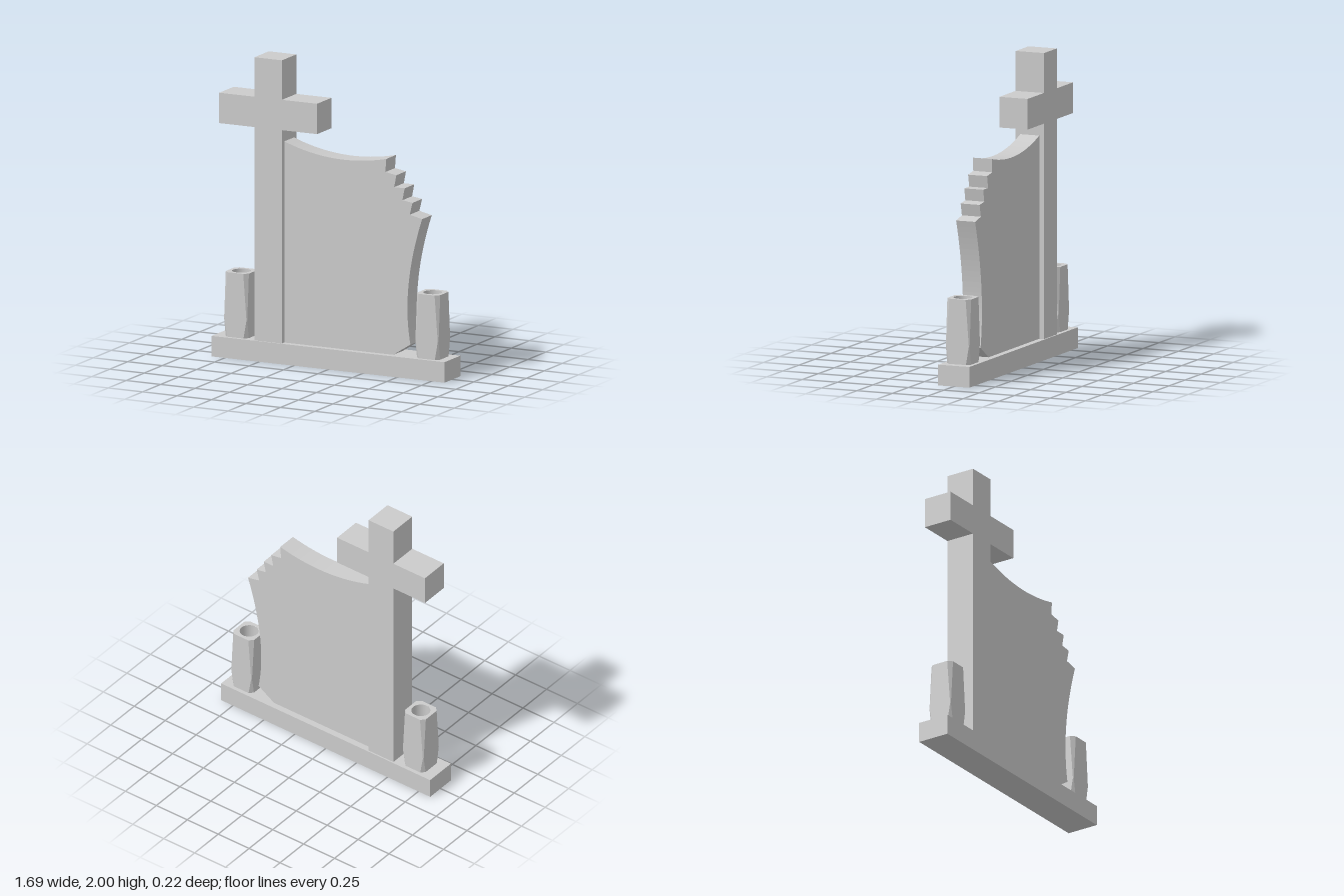
import * as THREE from 'three';

const stone = new THREE.MeshStandardMaterial({ color: 0xcccccc });
const stoneFlat = new THREE.MeshStandardMaterial({ color: 0xcccccc, flatShading: true });
const stoneInner = new THREE.MeshStandardMaterial({ color: 0xcccccc, side: THREE.BackSide });

const BASE_TOP = 0.135;

function addMesh(parent, name, geometry, material = stone) {
  const mesh = new THREE.Mesh(geometry, material);
  mesh.name = name;
  parent.add(mesh);
  return mesh;
}

// Extrude a front outline symmetrically about z = 0
function slab(shape, depth) {
  const g = new THREE.ExtrudeGeometry(shape, { depth, bevelEnabled: false, curveSegments: 24 });
  return g.translate(0, 0, -depth / 2);
}

function polygon(points) {
  return new THREE.Shape(points.map(([x, y]) => new THREE.Vector2(x, y)));
}

// Square with cut corners, counter-clockwise
function cutSquare(h, c) {
  const k = h - c;
  return [[h, -k], [h, k], [k, h], [-k, h], [-h, k], [-h, -k], [-k, -h], [k, -h]];
}

// Vase: square block whose corner cuts narrow to a point near the lower third
function createVase(name, x) {
  const vase = new THREE.Group();
  vase.name = name;
  vase.position.set(x, BASE_TOP, 0);
  const half = 0.084, height = 0.425, bore = 0.061, depth = 0.3;

  const levels = [[0, 0.025], [0.12, 0.004], [height, 0.027]];
  const positions = [], index = [];
  for (const [y, cut] of levels) {
    for (const [px, pz] of cutSquare(half, cut)) positions.push(px, y, -pz);
  }
  for (let l = 0; l < levels.length - 1; l++) {
    for (let i = 0; i < 8; i++) {
      const a = l * 8 + i, b = l * 8 + (i + 1) % 8;
      index.push(a, b, b + 8, a, b + 8, a + 8);
    }
  }
  const body = new THREE.BufferGeometry();
  body.setAttribute('position', new THREE.Float32BufferAttribute(positions, 3));
  body.setIndex(index);
  const sides = body.toNonIndexed();
  sides.computeVertexNormals();
  addMesh(vase, 'vaseBody', sides, stoneFlat);

  // Rim with round opening
  const rim = polygon(cutSquare(half, levels[2][1]));
  rim.holes.push(new THREE.Path().absarc(0, 0, bore, 0, Math.PI * 2, true));
  addMesh(vase, 'vaseRim', new THREE.ShapeGeometry(rim, 32).rotateX(-Math.PI / 2).translate(0, height, 0));

  // Bore wall and floor
  addMesh(vase, 'vaseBore', new THREE.CylinderGeometry(bore, bore, depth, 32, 1, true)
    .translate(0, height - depth / 2, 0), stoneInner);
  addMesh(vase, 'vaseBoreFloor', new THREE.CircleGeometry(bore, 32)
    .rotateX(-Math.PI / 2).translate(0, height - depth, 0));
  return vase;
}

export function createModel() {
  const model = new THREE.Group();
  model.name = 'headstone';

  // Plinth
  addMesh(model, 'base', new THREE.BoxGeometry(1.69, BASE_TOP, 0.22).translate(0, BASE_TOP / 2, 0));

  // Tall cross
  const cross = polygon([
    [-0.54, BASE_TOP], [-0.34, BASE_TOP], [-0.34, 1.54], [-0.085, 1.54], [-0.085, 1.74], [-0.34, 1.74],
    [-0.34, 2], [-0.54, 2], [-0.54, 1.74], [-0.795, 1.74], [-0.795, 1.54], [-0.54, 1.54],
  ]);
  addMesh(model, 'cross', slab(cross, 0.2));

  // Tablet with swept edges and a stepped, broken shoulder
  const tablet = new THREE.Shape();
  tablet.moveTo(-0.34, BASE_TOP);
  tablet.lineTo(0.45, BASE_TOP);
  tablet.lineTo(0.575, 0.215);
  tablet.quadraticCurveTo(0.505, 0.58, 0.66, 1.05);
  const steps = [
    [0.57, 1.07], [0.59, 1.15], [0.517, 1.16], [0.533, 1.24],
    [0.457, 1.24], [0.473, 1.32], [0.393, 1.333], [0.4, 1.42],
  ];
  for (const [x, y] of steps) tablet.lineTo(x, y);
  tablet.quadraticCurveTo(0.02, 1.33, -0.34, 1.46);
  addMesh(model, 'tablet', slab(tablet, 0.134));

  // Flower vases
  model.add(createVase('leftVase', 0.702), createVase('rightVase', -0.686));

  return model;
}
